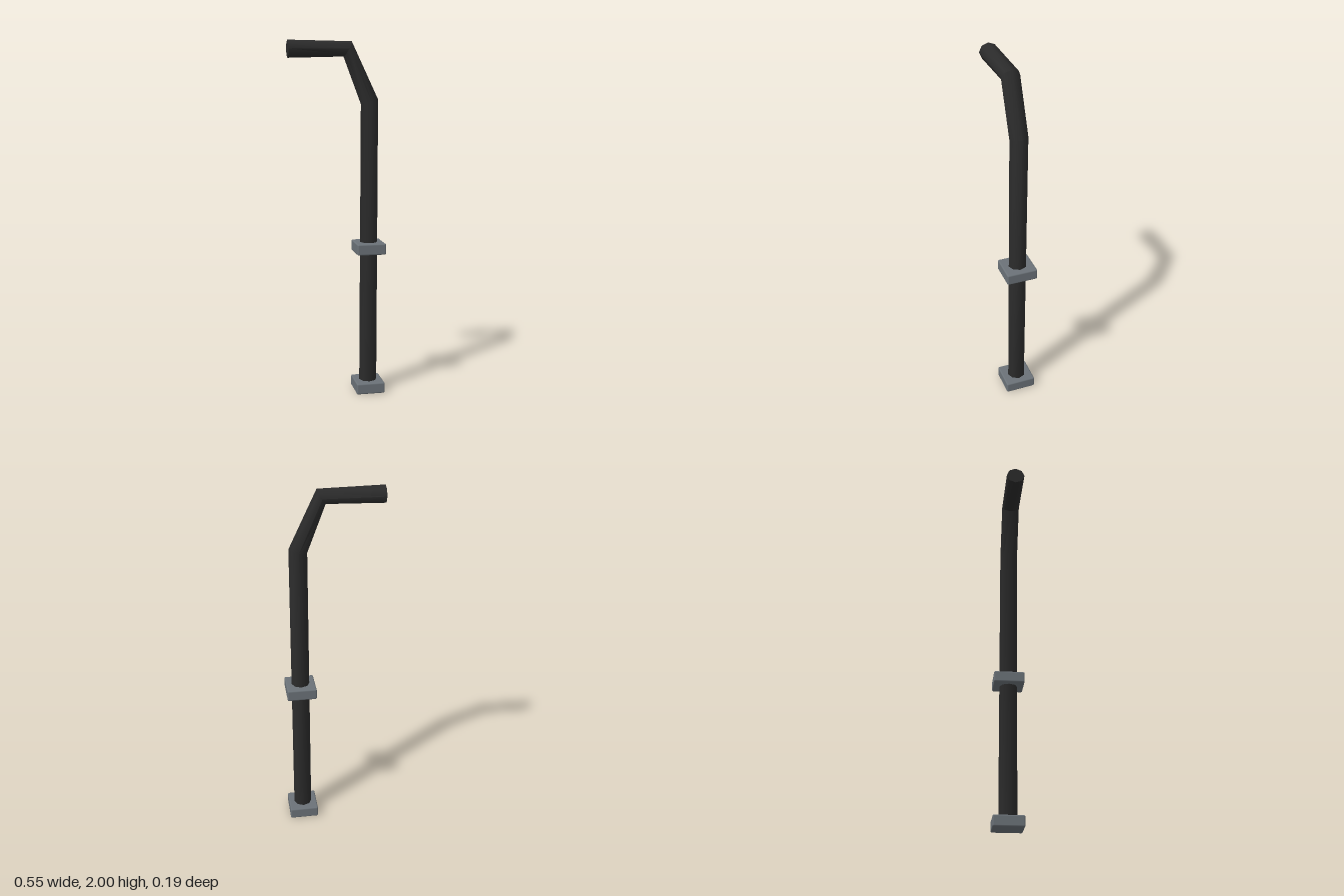
import * as THREE from 'three';
import { toCreasedNormals } from 'three/addons/utils/BufferGeometryUtils.js';
import { RoundedBoxGeometry } from 'three/addons/geometries/RoundedBoxGeometry.js';

const SIDES = 8;

// Each section: centre x, y and the offset (dx, dy) to its outer edge; r is the half width in z
const sections = [
  { x: 0, y: 0.02, dx: 0.051, dy: 0, r: 0.051 },
  { x: 0, y: 1.667, dx: 0.049, dy: 0.0125, r: 0.051 },
  { x: -0.124, y: 1.953, dx: 0.023, dy: 0.041, r: 0.051 },
  { x: -0.455, y: 1.952, dx: 0, dy: 0.048, r: 0.051 },
];

// Bent octagonal pipe with closed ends
function pipeGeometry() {
  const positions = [];
  const index = [];
  for (const s of sections) {
    for (let j = 0; j < SIDES; j++) {
      const a = (j / SIDES) * Math.PI * 2;
      const c = Math.cos(a);
      positions.push(s.x + c * s.dx, s.y + c * s.dy, s.r * Math.sin(a));
    }
  }
  const last = sections.length - 1;
  const startCentre = sections.length * SIDES;
  const endCentre = startCentre + 1;
  positions.push(sections[0].x, sections[0].y, 0, sections[last].x, sections[last].y, 0);
  for (let j = 0; j < SIDES; j++) {
    const k = (j + 1) % SIDES;
    for (let i = 0; i < last; i++) {
      const a = i * SIDES;
      const b = a + SIDES;
      index.push(a + j, b + j, a + k, b + j, b + k, a + k);
    }
    index.push(startCentre, j, k, endCentre, last * SIDES + k, last * SIDES + j);
  }
  const geometry = new THREE.BufferGeometry();
  geometry.setAttribute('position', new THREE.Float32BufferAttribute(positions, 3));
  geometry.setIndex(index);
  return toCreasedNormals(geometry, THREE.MathUtils.degToRad(50));
}

export function createModel() {
  const black = new THREE.MeshStandardMaterial({ color: 0x2b2b2b });
  black.name = 'black pipe';
  const grey = new THREE.MeshStandardMaterial({ color: 0x6b7278 });
  grey.name = 'grey metal';

  const model = new THREE.Group();
  model.name = 'bentPipe';

  // Pipe and brackets share a slight turn about the pole axis
  const assembly = new THREE.Group();
  assembly.name = 'pipeAssembly';
  assembly.position.x = 0.182;
  assembly.rotation.y = -0.104;
  model.add(assembly);

  const pipe = new THREE.Mesh(pipeGeometry(), black);
  pipe.name = 'pipe';
  assembly.add(pipe);

  // Base block and middle collar
  const block = new RoundedBoxGeometry(0.164, 0.063, 0.174, 2, 0.008);
  for (const [name, y] of [['baseBlock', 0.0315], ['middleCollar', 0.848]]) {
    const mesh = new THREE.Mesh(block, grey);
    mesh.name = name;
    mesh.position.y = y;
    assembly.add(mesh);
  }
  return model;
}
